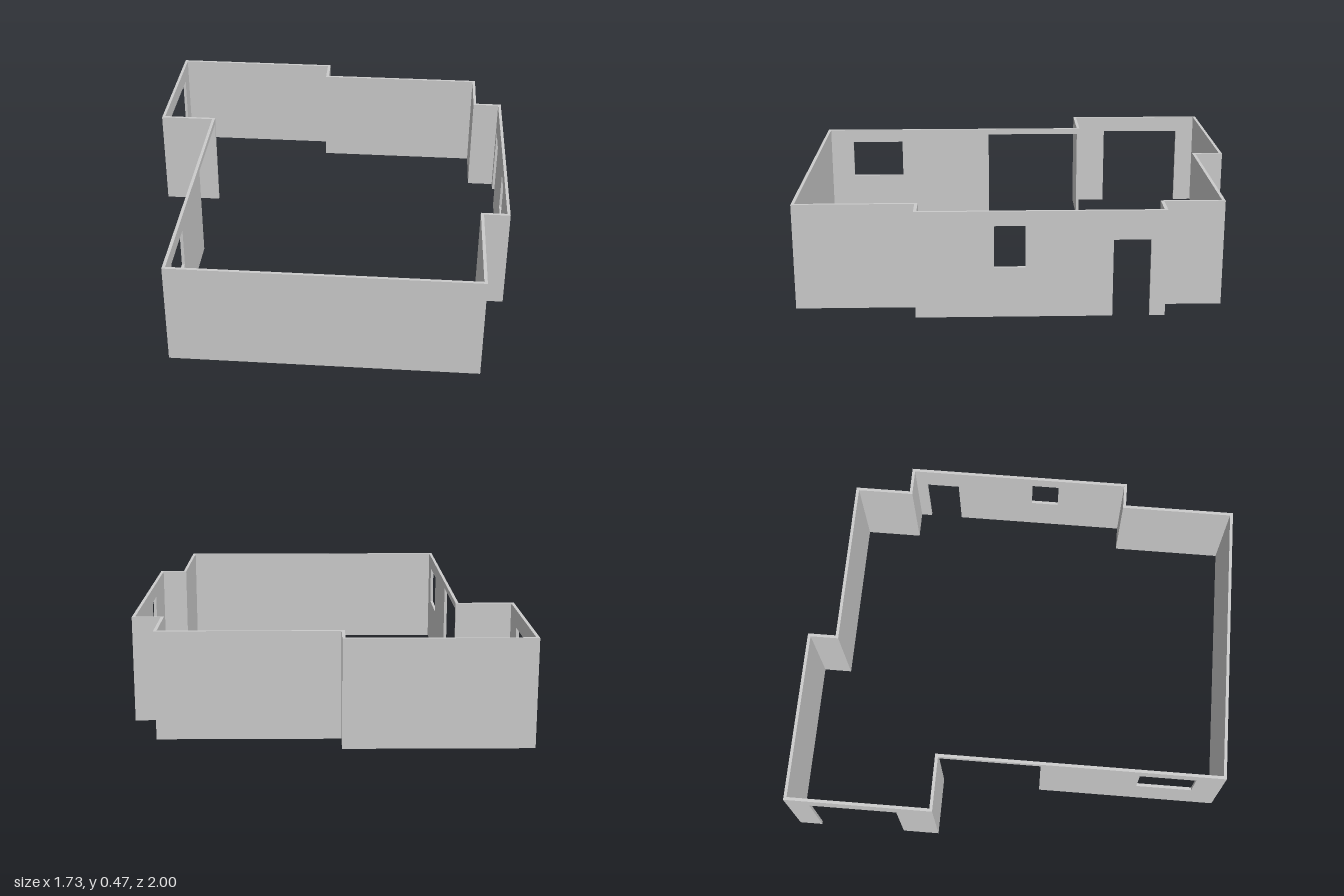
import * as THREE from 'three';

const HEIGHT = 0.475;
const THICK = 0.014;

// Outer corners [x, z] of the floor plan; each wall runs from its corner to the next one.
// Doors and windows are given as [z1, z2, bottom, top].
const WALLS = [
  { name: 'backWallRight', at: [-0.865, -1] },
  { name: 'backStepWall', at: [-0.055, -1] },
  { name: 'backWallLeft', at: [-0.055, -0.868] },
  { name: 'backLeftSideWall', at: [0.735, -0.868] },
  { name: 'backLeftStepWall', at: [0.735, -0.602] },
  { name: 'leftSideWall', at: [0.862, -0.602], door: [-0.535, -0.375, 0, 0.345], window: [0, 0.133, 0.225, 0.41] },
  { name: 'frontLeftStepWall', at: [0.862, 0.472] },
  { name: 'frontLeftSideWall', at: [0.744, 0.472] },
  { name: 'frontWall', at: [0.744, 1] },
  { name: 'rightSideWall', at: [-0.608, 1], door: [0.15, -0.322, 0, 0.447], window: [0.87, 0.61, 0.225, 0.41] },
  { name: 'rightStepWall', at: [-0.608, -0.322] },
  { name: 'backRightSideWall', at: [-0.865, -0.322], door: [-0.492, -0.893, 0, 0.397] },
];

const material = new THREE.MeshStandardMaterial({ color: 0xcccccc });

function toPath(PathClass, points) {
  return new PathClass(points.map(([u, v]) => new THREE.Vector2(u, v)));
}

function makeWall(wall, prev, next) {
  const start = new THREE.Vector2(...wall.at);
  const dir = new THREE.Vector2(...next.at).sub(start);
  const length = dir.length();
  dir.normalize();

  // Butt joint: start after the previous wall at an outer corner, reach behind it at an inner one
  const prevDir = start.clone().sub(new THREE.Vector2(...prev.at)).normalize();
  const turnsInward = -prevDir.y * dir.x + prevDir.x * dir.y > 0;
  const first = turnsInward ? THICK : -THICK;

  // Wall elevation, with the door as a notch from the ground
  const along = (z) => Math.abs(z - start.y);
  const outline = [[first, 0]];
  let reachesEnd = false;
  if (wall.door) {
    const [z1, z2, , top] = wall.door;
    const a = along(z1), b = along(z2);
    reachesEnd = b > length - 0.001;
    outline.push([a, 0], [a, top], [b, top]);
    if (!reachesEnd) outline.push([b, 0]);
  }
  if (!reachesEnd) outline.push([length, 0]);
  outline.push([length, HEIGHT], [first, HEIGHT]);
  const shape = toPath(THREE.Shape, outline);

  // Window hole
  if (wall.window) {
    const [z1, z2, low, top] = wall.window;
    const a = along(z1), b = along(z2);
    shape.holes.push(toPath(THREE.Path, [[a, low], [a, top], [b, top], [b, low]]));
  }

  const geometry = new THREE.ExtrudeGeometry(shape, { depth: THICK, bevelEnabled: false });
  const mesh = new THREE.Mesh(geometry, material);
  mesh.name = wall.name;
  mesh.position.set(start.x, 0, start.y);
  mesh.rotation.y = Math.atan2(-dir.y, dir.x);
  return mesh;
}

export function createModel() {
  const group = new THREE.Group();
  group.name = 'houseWalls';
  const n = WALLS.length;
  WALLS.forEach((wall, i) => {
    group.add(makeWall(wall, WALLS[(i + n - 1) % n], WALLS[(i + 1) % n]));
  });
  return group;
}
